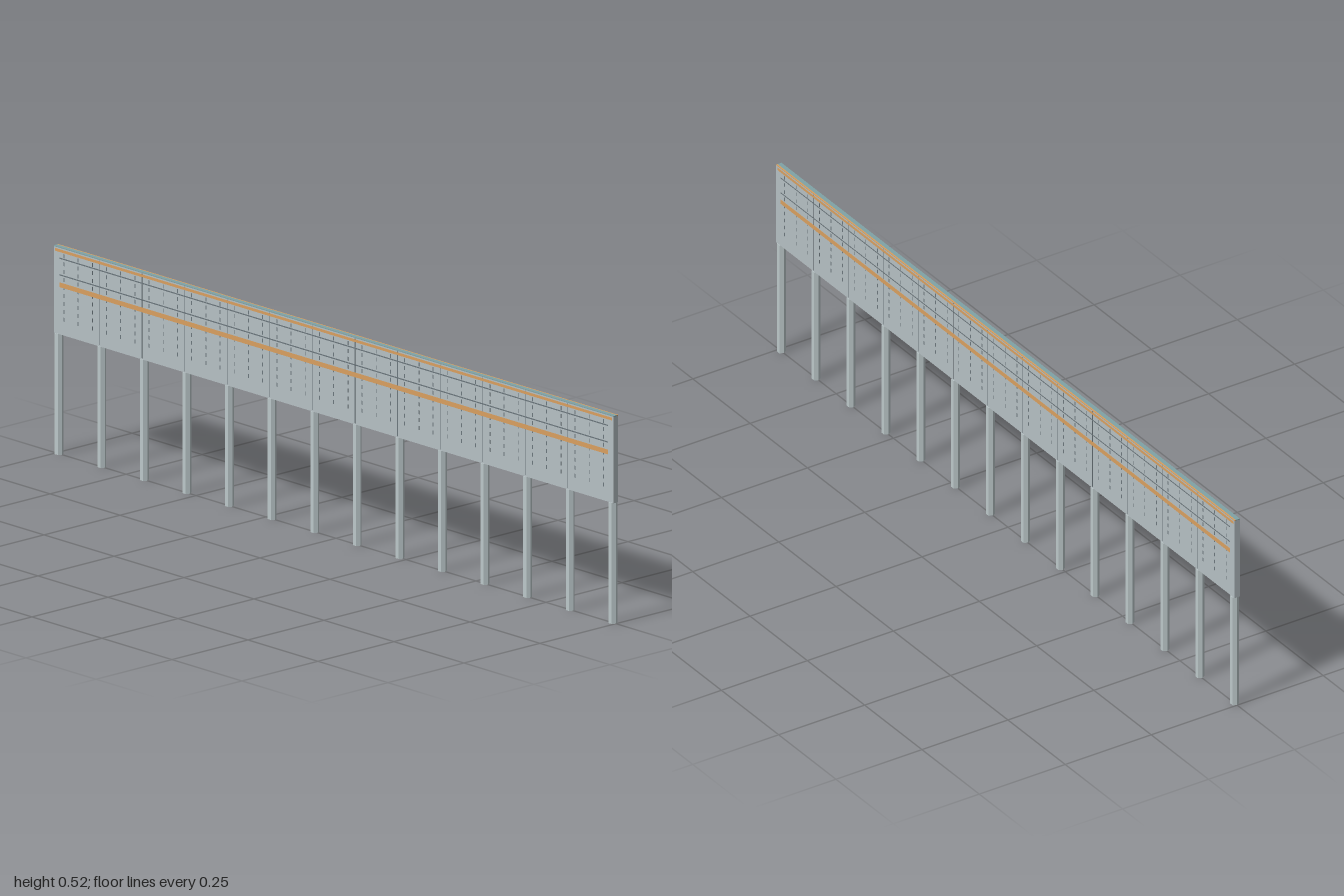
import * as THREE from 'three';
import { mergeGeometries } from 'three/addons/utils/BufferGeometryUtils.js';

const BAYS = 13, HALF = 0.989, STEP = (2 * HALF) / BAYS;
const BOTTOM = 0.305, TOP = 0.525, DEPTH = 0.0152, POST_R = 0.011;

const paint = (color) => new THREE.MeshStandardMaterial({ color, flatShading: true });
const box = (w, h, d, x, y, z) => new THREE.BoxGeometry(w, h, d).translate(x, y, z);

export function createModel() {
  const group = new THREE.Group();
  const steel = paint(0xbcc8ca), sheet = paint(0xb6c0c4);
  const orange = paint(0xd9a060), dark = paint(0x6c777d), teal = paint(0x7fa3a6);
  const add = (name, geometry, material) => {
    const mesh = new THREE.Mesh(geometry, material);
    mesh.name = name;
    group.add(mesh);
  };

  // hexagonal posts, one at each bay boundary
  const post = new THREE.CylinderGeometry(POST_R, POST_R, BOTTOM, 6)
    .rotateY(Math.PI / 2).translate(0, BOTTOM / 2, 0);
  for (let i = 0; i <= BAYS; i++) {
    add('post', post.clone().translate(-HALF + i * STEP, 0, 0), steel);
  }

  // long screen panel
  add('panel', box(2, TOP - BOTTOM - 0.002, DEPTH, 0, (TOP + BOTTOM) / 2 - 0.001, 0), sheet);

  // cap strip, with an orange edge along the back
  add('cap', box(2, 0.002, 0.0116, 0, TOP - 0.001, 0.0018), teal);
  add('capEdge', box(2, 0.002, 0.0036, 0, TOP - 0.001, -0.0058), orange);

  // stripes, grooves, seams and slot rows on both faces
  const stripes = [], lines = [], slots = [];
  for (const side of [1, -1]) {
    const z = side * DEPTH / 2;
    stripes.push(box(1.96, 0.012, 0.0006, 0, 0.43, z), box(1.99, 0.007, 0.0006, 0, 0.516, z));
    for (const y of [0.455, 0.497]) lines.push(box(1.96, 0.003, 0.0005, 0, y, z));
    for (let i = 1; i < BAYS; i++) {
      lines.push(box(0.002, TOP - BOTTOM - 0.006, 0.0005, -HALF + i * STEP, (TOP + BOTTOM) / 2, z));
    }
    for (let i = 0; i < BAYS * 3; i++) {
      const x = -HALF + (i + 0.5) * STEP / 3;
      for (let y = 0.345; y < 0.512; y += 0.02) slots.push(box(0.003, 0.01, 0.0004, x, y, z));
    }
  }
  add('stripes', mergeGeometries(stripes), orange);
  add('groovesAndSeams', mergeGeometries(lines), dark);
  add('slotRows', mergeGeometries(slots), dark);

  return group;
}
